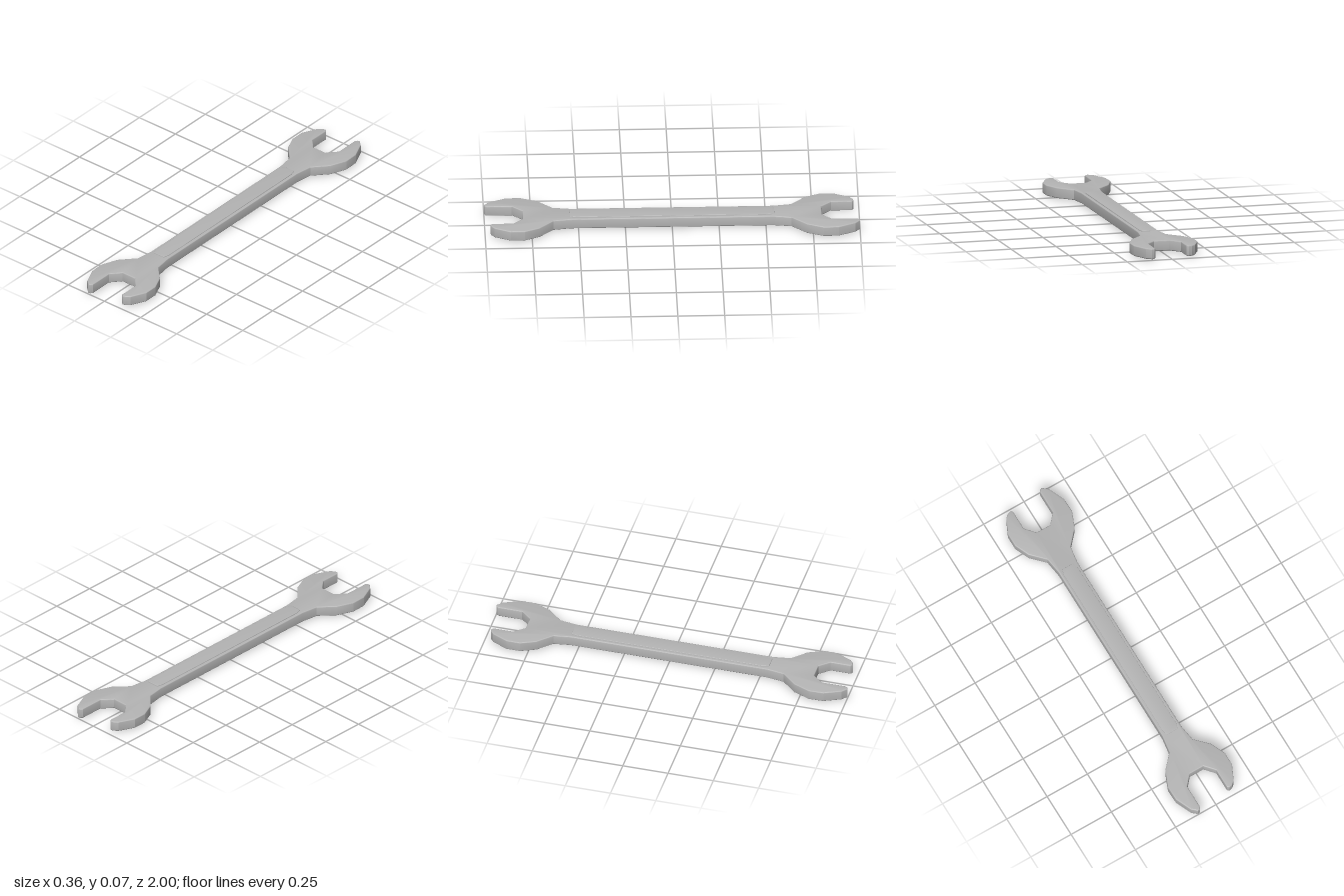
import * as THREE from 'three';
import { toCreasedNormals } from 'three/addons/utils/BufferGeometryUtils.js';

// Half outline (x, z) of the front end; the other end is the same turned by 180 degrees
const jawOutline = [
  [0.058, 0.54], [0.072, 0.635], [0.145, 0.71], [0.18, 0.79], [0.18, 0.865],
  [0.14, 0.95], [0.118, 0.968], [0.102, 0.972], [0.09, 0.962],
  [0.09, 0.852], [0.042, 0.797], [-0.042, 0.797], [-0.09, 0.852],
  [-0.09, 0.985], [-0.098, 0.997], [-0.112, 1], [-0.14, 0.975],
  [-0.18, 0.885], [-0.182, 0.805], [-0.145, 0.715], [-0.072, 0.635], [-0.058, 0.54],
];
const panelOutline = [[0.042, 0.512], [0.034, 0.545], [-0.034, 0.545], [-0.042, 0.512]];

// Flat slab between two heights with softly rounded rims
function slab(half, bottom, top, bevel, material, name) {
  const outline = [...half, ...half.map(([x, z]) => [-x, -z])];
  const shape = new THREE.Shape(outline.map(([x, z]) => new THREE.Vector2(x, z)));
  const geometry = new THREE.ExtrudeGeometry(shape, {
    depth: top - bottom - 2 * bevel,
    bevelThickness: bevel, bevelSize: bevel, bevelOffset: -bevel, bevelSegments: 4,
  });
  geometry.rotateX(Math.PI / 2).translate(0, top - bevel, 0);
  const mesh = new THREE.Mesh(toCreasedNormals(geometry, 0.42), material);
  mesh.name = name;
  return mesh;
}

export function createModel() {
  const group = new THREE.Group();
  group.name = 'openEndWrench';
  const steel = new THREE.MeshStandardMaterial({ color: 0xb4b4b4 });
  steel.name = 'steel grey';

  // Body with both open jaws
  group.add(slab(jawOutline, 0.005, 0.063, 0.006, steel, 'body'));
  // Raised grip panel showing on both faces of the handle
  group.add(slab(panelOutline, 0, 0.068, 0.002, steel, 'gripPanel'));
  return group;
}
